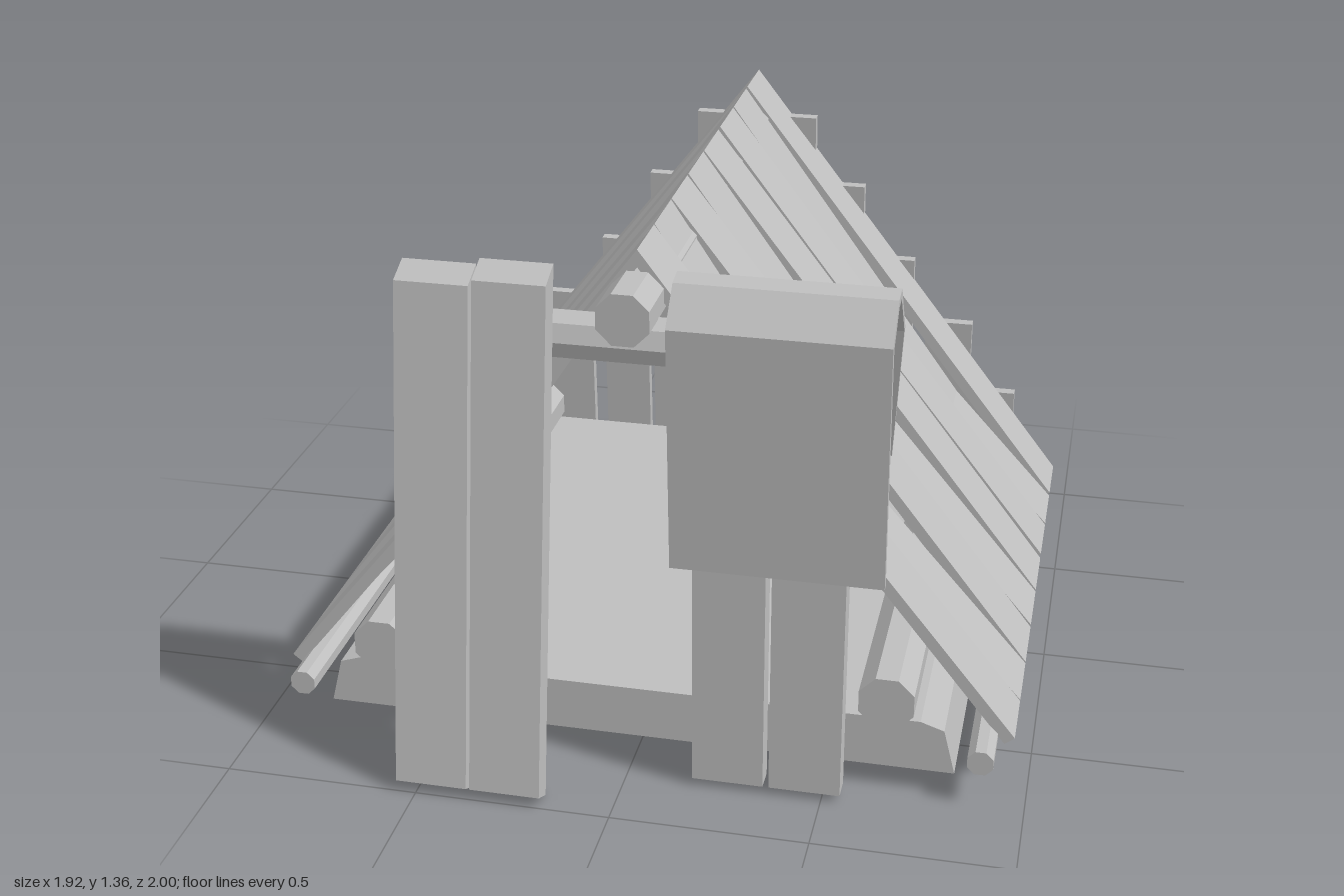
import * as THREE from 'three';

export function createModel() {
  const model = new THREE.Group();
  model.name = 'woodenShelter';
  const wood = new THREE.MeshStandardMaterial({ color: 0xbebebe });
  wood.name = 'paleGrey';
  wood.flatShading = true;

  const add = (name, geometry, x = 0, y = 0, z = 0) => {
    const mesh = new THREE.Mesh(geometry, wood);
    mesh.name = name;
    mesh.position.set(x, y, z);
    model.add(mesh);
    return mesh;
  };
  // Outline in x, y extruded along z
  const prism = (points, z0, z1) => {
    const shape = new THREE.Shape(points.map(p => new THREE.Vector2(p[0], p[1])));
    return new THREE.ExtrudeGeometry(shape, { depth: z1 - z0, bevelEnabled: false }).translate(0, 0, z0);
  };
  // Outline in z, y extruded along x
  const sidePrism = (points, x0, x1) =>
    prism(points.map(([z, y]) => [-z, y]), x0, x1).rotateY(Math.PI / 2);
  // Octagonal log lying along z
  const log = (name, x, y, r, z0, z1) => add(name,
    new THREE.CylinderGeometry(r, r, z1 - z0, 8).rotateY(Math.PI / 8).rotateX(Math.PI / 2), x, y, (z0 + z1) / 2);

  // Floor slab with softened upper edges
  add('floor', prism([[-0.82, 0.06], [0.82, 0.06], [0.79, 0.18], [0.73, 0.2], [-0.73, 0.2], [-0.79, 0.18]], -0.82, 0.72));

  // Frame logs
  log('ridgeLog', 0, 1.24, 0.07, -0.75, 0.79);
  for (const s of [-1, 1]) {
    log('sideLog', s * 0.65, 0.285, 0.074, -0.74, 0.79);
    log('eaveLog', s * 0.885, 0.125, 0.035, -0.82, 0.76);
  }

  // Roof planks: z start, z end, x of the bend, sag at the bend
  const roof = [
    [-0.93, -0.745, 0.5, 0], [-0.725, -0.54, 0.66, 0.06], [-0.53, -0.345, 0.5, 0.01],
    [-0.32, -0.13, 0.55, 0], [-0.12, 0.067, 0.48, 0.05], [0.08, 0.265, 0.5, 0],
    [0.272, 0.455, 0.38, 0.09], [0.46, 0.637, 0.53, 0.02],
  ];
  const roofY = x => 1.36 - x * 1.281;
  roof.forEach(([z0, z1, bend, sag], i) => {
    for (const s of [-1, 1]) {
      const broken = s < 0 && i === 3;
      const y = roofY(bend) - sag;
      const outline = broken
        ? [[0.55, roofY(0.55)], [0.96, 0.13], [0.935, 0.11], [0.53, roofY(0.53) - 0.04]]
        : [[0, 1.36], [bend, y], [0.96, 0.13], [0.935, 0.11], [bend - 0.02, y - 0.02], [0, 1.315]];
      add(broken ? 'brokenRoofPlank' : 'roofPlank', prism(outline.map(p => [s * p[0], p[1]]), z0, z1));
    }
  });

  // Back wall planks, stepped down from the ridge and leaning inward
  const back = [[0.11, 1.23], [0.262, 1.02], [0.422, 0.79], [0.608, 0.59], [0.75, 0.36]];
  for (const s of [-1, 1]) {
    back.forEach(([x, top], i) => {
      const plank = add('backPlank', new THREE.BoxGeometry(0.143, top - 0.035, 0.03).translate(0, (top - 0.035) / 2, 0),
        s * x, 0.035, i === 4 ? -0.983 : -0.975);
      plank.rotation.x = 0.05;
    });
  }

  // Crossbar at the entrance
  add('crossbar', new THREE.CylinderGeometry(0.062, 0.062, 1.17, 8).rotateZ(Math.PI / 2), 0.015, 1.155, 0.695);

  // Planks leaning against the crossbar
  [[-0.55, -0.367, 1.33], [-0.358, -0.178, 1.345]].forEach(([x0, x1, top]) =>
    add('leaningPlank', sidePrism([[1.0, 0.03], [0.8, top - 0.03], [0.73, top], [0.94, 0]], x0, x1)));

  // Upright planks under the cover
  for (const x of [0.262, 0.457]) {
    add('uprightPlank', new THREE.BoxGeometry(0.18, 1.28, 0.06), x, 0.66, 0.79);
  }

  // Draped cover: front drop, top fold and short rear drop
  add('cover', sidePrism([
    [0.84, 0.63], [0.87, 1.26], [0.79, 1.345], [0.74, 1.355], [0.64, 1.22],
    [0.655, 1.215], [0.742, 1.33], [0.78, 1.325], [0.85, 1.25], [0.82, 0.63],
  ], 0.12, 0.64));

  // Loose rear corner of the cover, a thin four-cornered flap
  const corners = [[0.12, 1.22, 0.645], [0.64, 1.22, 0.645], [0.62, 0.88, 0.62], [0.18, 1.17, 0.52]];
  const flap = new THREE.BufferGeometry();
  flap.setAttribute('position', new THREE.Float32BufferAttribute(
    [...corners, ...corners.map(([x, y, z]) => [x, y, z + 0.012])].flat(), 3));
  const faces = [0, 1, 3, 1, 2, 3, 4, 7, 5, 5, 7, 6];
  for (let i = 0; i < 4; i++) {
    const j = (i + 1) % 4;
    faces.push(i, i + 4, j, j, i + 4, j + 4);
  }
  flap.setIndex(faces);
  const flat = flap.toNonIndexed();
  flat.computeVertexNormals();
  add('coverFlap', flat);

  return model;
}
